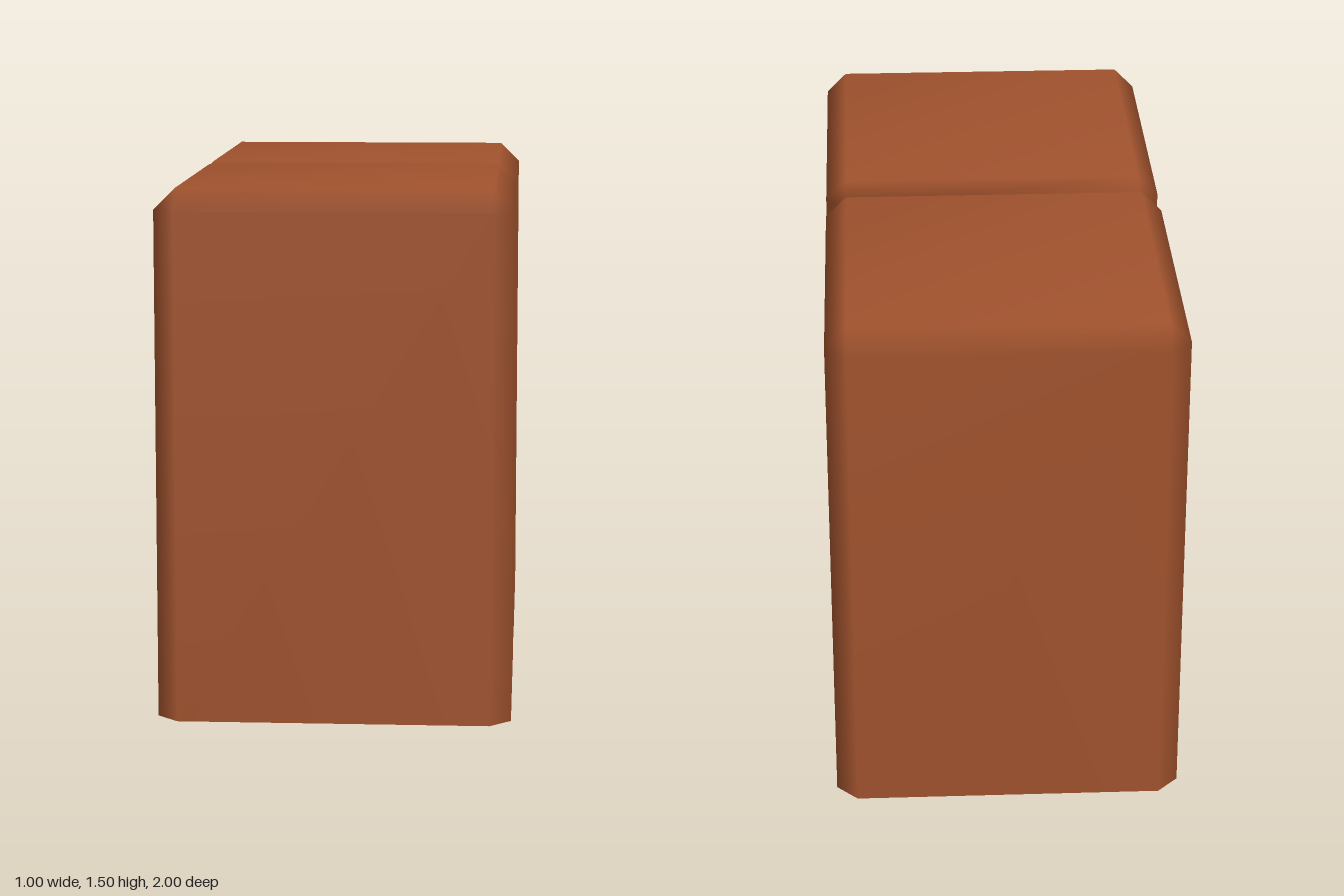
import * as THREE from 'three';
import { mergeVertices } from 'three/addons/utils/BufferGeometryUtils.js';

const HALF_WIDTH = 0.5, HEIGHT = 1.5, BEVEL = 0.06;

// Arch-shaped cross-section, open at the bottom; pinched rings lie at the ends and in the groove
function crossSection(z, pinched) {
  const inner = HALF_WIDTH - BEVEL, shoulder = HEIGHT - BEVEL;
  const side = pinched ? inner : HALF_WIDTH;
  const top = pinched ? shoulder : HEIGHT;
  return [
    [-side, 0, z], [-side, shoulder, z], [-inner, top, z],
    [inner, top, z], [side, shoulder, z], [side, 0, z],
  ];
}

// Two bevelled blocks joined at a V-groove as one hollow shell
function shellGeometry() {
  const rings = [
    [1, true], [1 - BEVEL, false], [BEVEL, false], [0, true],
    [-BEVEL, false], [BEVEL - 1, false], [-1, true],
  ].map(([z, pinched]) => crossSection(z, pinched));
  const n = rings[0].length;
  const index = [];
  const quad = (a, b, c, d) => index.push(a, b, c, a, c, d);

  for (let i = 0; i < rings.length - 1; i++) {
    for (let j = 0; j < n - 1; j++) {
      const a = i * n + j;
      quad(a, a + 1, a + n + 1, a + n);
    }
  }

  // End walls
  const last = (rings.length - 1) * n;
  quad(0, 5, 4, 1);
  quad(last + 5, last, last + 1, last + 4);

  const geometry = new THREE.BufferGeometry();
  geometry.setAttribute('position', new THREE.Float32BufferAttribute(rings.flat(2), 3));
  geometry.setIndex(index);
  const merged = mergeVertices(geometry);
  merged.computeVertexNormals();
  return merged;
}

export function createModel() {
  const clay = new THREE.MeshStandardMaterial({ color: 0xa0522d, side: THREE.DoubleSide });
  clay.name = 'reddish brown';

  const group = new THREE.Group();
  group.name = 'doubleBlock';
  const shell = new THREE.Mesh(shellGeometry(), clay);
  shell.name = 'blockShell';
  group.add(shell);
  return group;
}
